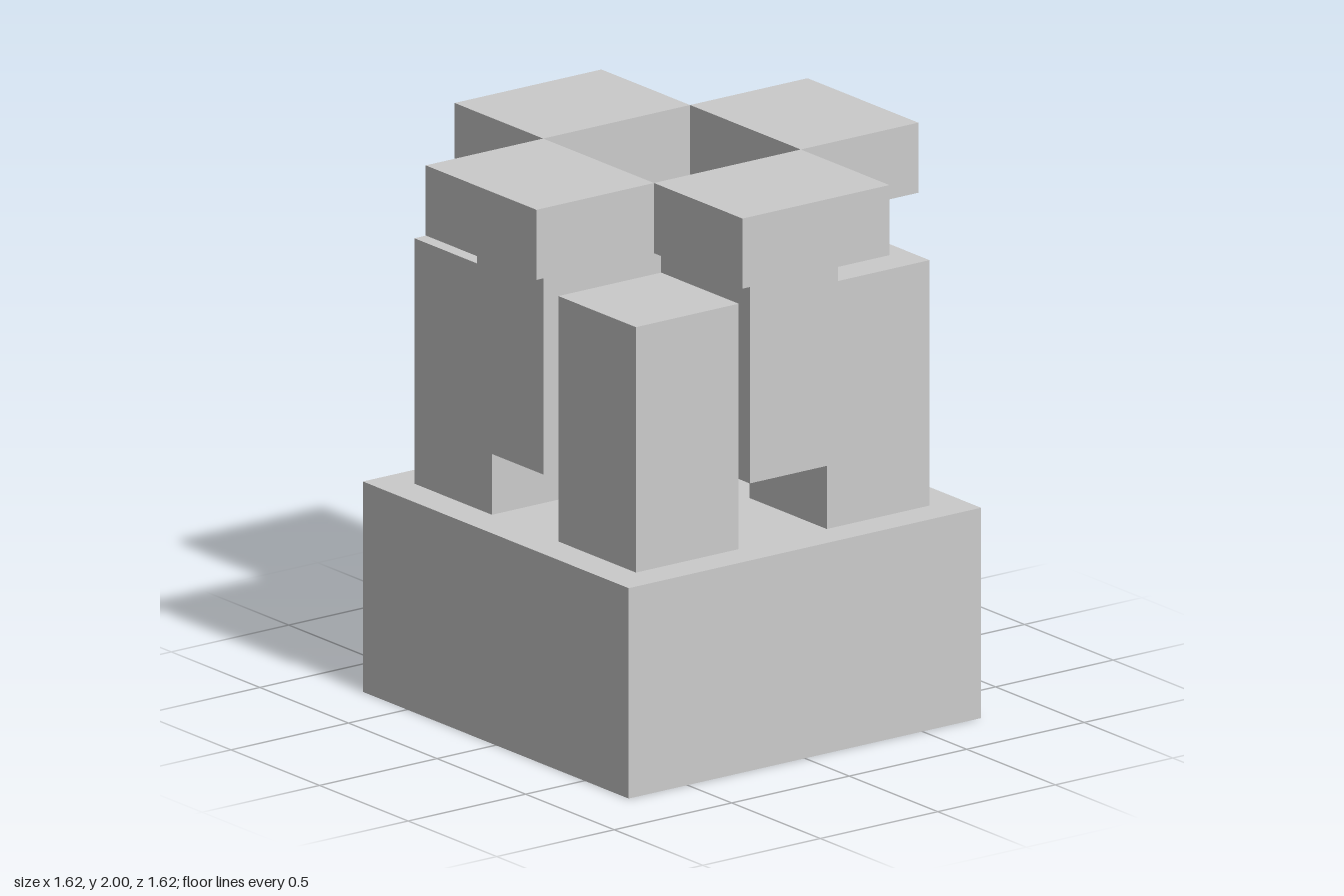
import * as THREE from 'three';

const material = new THREE.MeshStandardMaterial({ color: 0xcccccc, flatShading: true });

// Box given by its minimum and maximum corners
function block(name, [x0, y0, z0], [x1, y1, z1]) {
  const mesh = new THREE.Mesh(new THREE.BoxGeometry(x1 - x0, y1 - y0, z1 - z0), material);
  mesh.position.set((x0 + x1) / 2, (y0 + y1) / 2, (z0 + z1) / 2);
  mesh.name = name;
  return mesh;
}

export function createModel() {
  const model = new THREE.Group();
  model.name = 'pedestal';

  model.add(block('base', [-0.75, 0, -0.75], [0.75, 0.75, 0.75]));

  // Four identical sides, each turned a quarter further about the centre
  ['front', 'left', 'back', 'right'].forEach((side, i) => {
    const quarter = new THREE.Group();
    quarter.name = side + 'Side';
    quarter.add(
      block('cornerPost', [0.1875, 0.75, 0.1875], [0.625, 1.625, 0.625]),
      block('raisedPanel', [-0.1875, 1, 0.1875], [0.1875, 1.75, 0.6875]),
      block('topSlab', [-0.3125, 1.75, 0.3125], [0.3125, 2, 0.8125])
    );
    quarter.rotation.y = i * Math.PI / 2;
    model.add(quarter);
  });

  return model;
}
